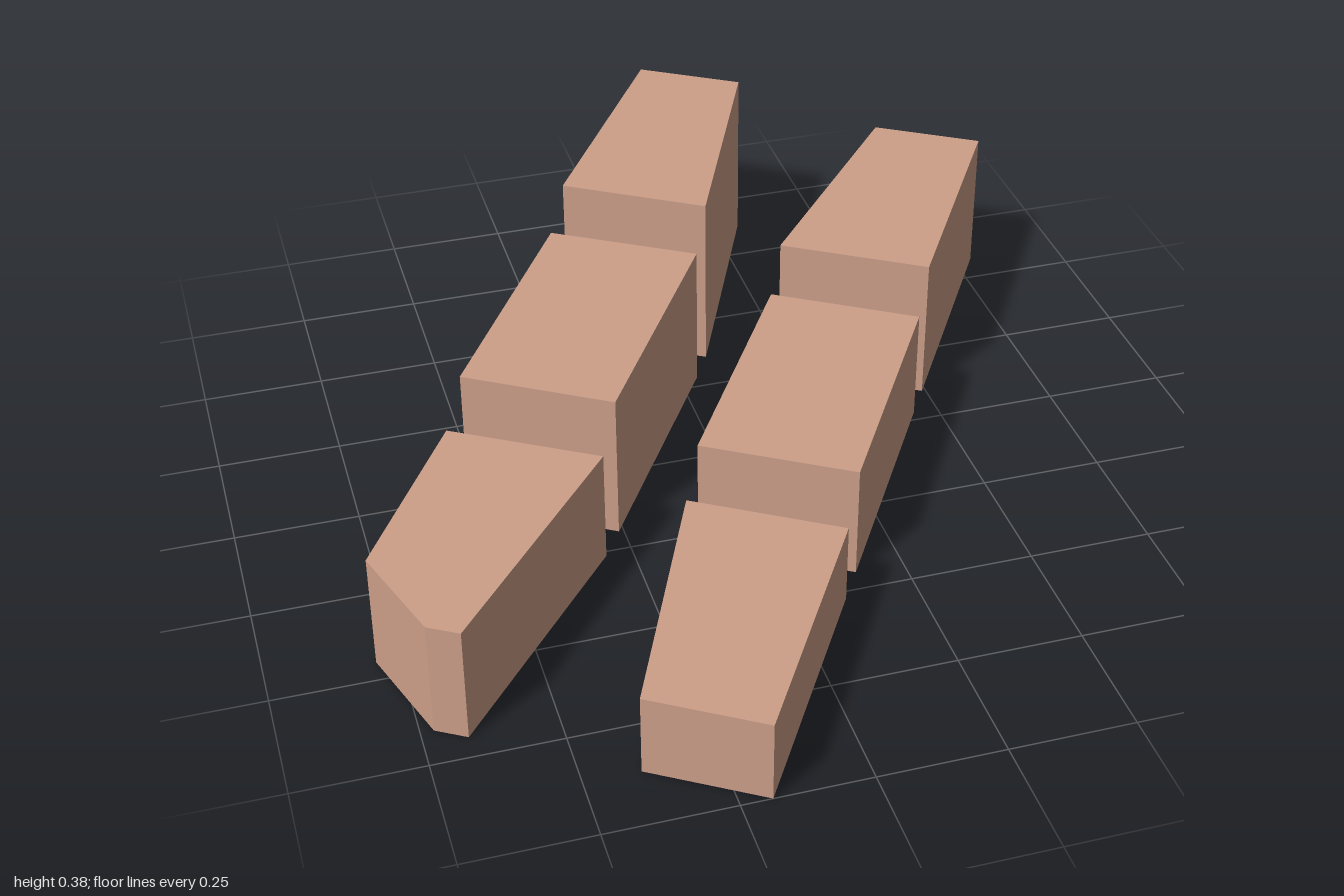
import * as THREE from 'three';

// Each block: name, height and footprint corners as [x, z]
const BLOCKS = [
  ['rightRowBackBlock', 0.385, [[0.11, -1], [0.31, -0.875], [0.08, -0.355], [-0.19, -0.525]]],
  ['rightRowMiddleBlock', 0.315, [[-0.235, -0.455], [0.04, -0.285], [-0.26, 0.195], [-0.53, 0.025]]],
  ['rightRowFrontBlock', 0.243, [[-0.575, 0.095], [-0.303, 0.263], [-0.668, 0.698], [-0.725, 0.663], [-0.793, 0.45]]],
  ['leftRowBackBlock', 0.315, [[0.587, -0.702], [0.79, -0.575], [0.492, -0.097], [0.22, -0.268]]],
  ['leftRowMiddleBlock', 0.243, [[0.178, -0.197], [0.448, -0.027], [0.152, 0.45], [-0.12, 0.28]]],
  ['leftRowFrontBlock', 0.171, [[-0.163, 0.35], [0.108, 0.52], [-0.19, 1], [-0.393, 0.87]]],
];

export function createModel() {
  const group = new THREE.Group();
  group.name = 'steppedBlocks';
  const clay = new THREE.MeshStandardMaterial({ color: 0xcd9f89 });
  clay.name = 'clay';

  // Upright prisms standing on the ground, stepping up toward the back
  for (const [name, height, corners] of BLOCKS) {
    const footprint = new THREE.Shape(corners.map(([x, z]) => new THREE.Vector2(x, -z)));
    const geometry = new THREE.ExtrudeGeometry(footprint, { depth: height, bevelEnabled: false });
    geometry.rotateX(-Math.PI / 2);
    const block = new THREE.Mesh(geometry, clay);
    block.name = name;
    group.add(block);
  }
  return group;
}
